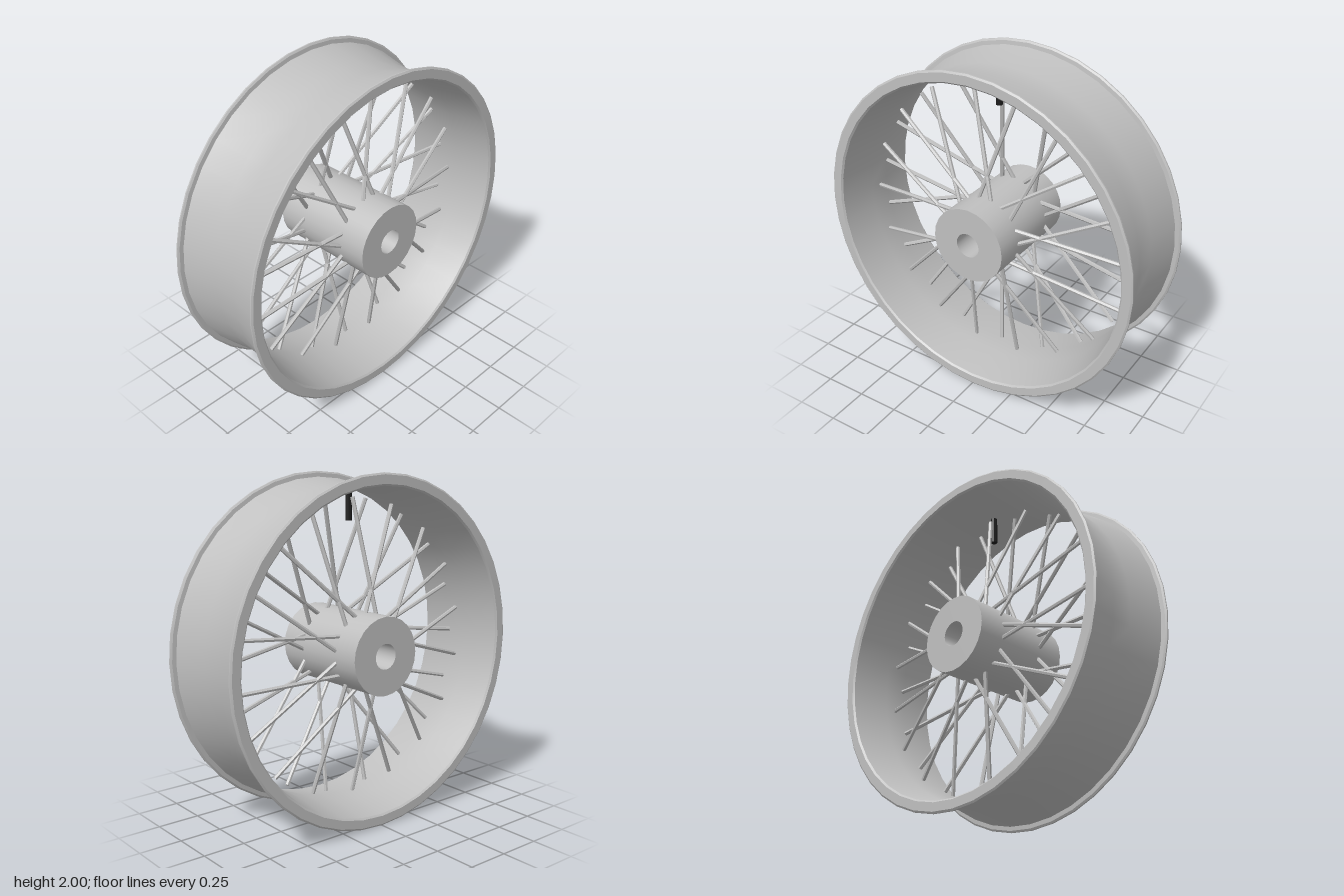
import * as THREE from 'three';
import { toCreasedNormals } from 'three/addons/utils/BufferGeometryUtils.js';

const silver = new THREE.MeshStandardMaterial({ color: 0xc0c0c0 });
silver.name = 'silver metal';
const black = new THREE.MeshStandardMaterial({ color: 0x1c1c1c });
black.name = 'black rubber';

// Closed ring turned about the z axis from [radius, z] points
function ring(name, profile, segments) {
  const points = [...profile, profile[0]].map(([r, z]) => new THREE.Vector2(r, z));
  const geometry = new THREE.LatheGeometry(points, segments).rotateX(Math.PI / 2);
  const mesh = new THREE.Mesh(toCreasedNormals(geometry, 0.45), silver);
  mesh.name = name;
  return mesh;
}

// Thin rod between two points
function rod(name, from, to, radius, sides, material) {
  const axis = to.clone().sub(from);
  const geometry = new THREE.CylinderGeometry(radius, radius, axis.length(), sides);
  const mesh = new THREE.Mesh(toCreasedNormals(geometry, 0.5), material);
  mesh.name = name;
  mesh.position.copy(from).add(to).multiplyScalar(0.5);
  mesh.quaternion.setFromUnitVectors(new THREE.Vector3(0, 1, 0), axis.normalize());
  return mesh;
}

const polar = (radius, degrees, z) => {
  const a = THREE.MathUtils.degToRad(degrees);
  return new THREE.Vector3(radius * Math.cos(a), radius * Math.sin(a), z);
};

export function createModel() {
  const wheel = new THREE.Group();
  wheel.name = 'wheel';
  wheel.position.y = 1;

  // Rim: dished band with a bevelled flange on each edge
  const outer = [[0.925, 0.07], [0.967, 0.281], [0.99, 0.284], [1, 0.291], [1, 0.299], [0.99, 0.306]];
  const inner = [[0.94, 0.306], [0.93, 0.296], [0.9, 0.07]];
  const half = [...outer, ...inner];
  const mirrored = half.map(([r, z]) => [r, -z]).reverse();
  wheel.add(ring('rim', [...half, ...mirrored], 40));

  // Hub: tube with an axle hole
  wheel.add(ring('hub', [[0.225, -0.32], [0.225, 0.32], [0.073, 0.32], [0.073, -0.32]], 24));

  // Spokes: alternate between the hub ends, leaning in pairs to each side
  const spokes = new THREE.Group();
  spokes.name = 'spokes';
  for (let i = 0; i < 36; i++) {
    const side = i % 2 === 0 ? 1 : -1;
    const lean = i % 4 < 2 ? 22 : -22;
    const hubEnd = polar(0.21, i * 10 + lean, side * 0.15);
    const rimEnd = polar(0.863, i * 10, side * 0.03);
    spokes.add(rod('spoke', hubEnd, rimEnd, 0.0125, 6, silver));
  }
  wheel.add(spokes);

  // Valve stem at the top of the rim
  wheel.add(rod('valveStem', polar(0.73, 90, 0), polar(0.91, 90, 0), 0.019, 8, black));

  const model = new THREE.Group();
  model.name = 'spokedWheel';
  model.add(wheel);
  return model;
}
